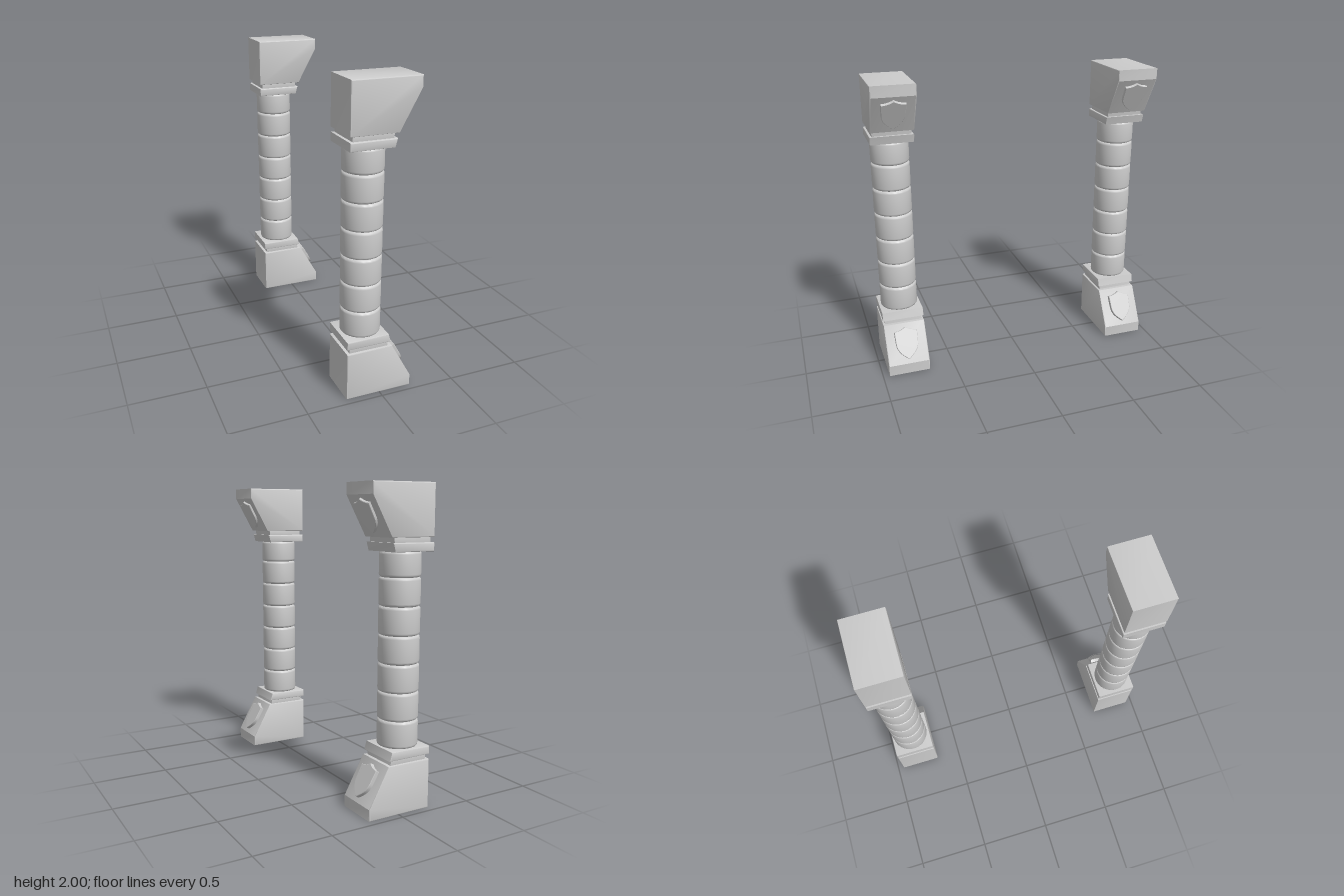
import * as THREE from 'three';
import { toCreasedNormals } from 'three/addons/utils/BufferGeometryUtils.js';

const material = new THREE.MeshStandardMaterial({ color: 0xcccccc });
const MID = 1.0; // height about which base and capital mirror

function add(group, name, geometry) {
  const mesh = new THREE.Mesh(geometry, material);
  mesh.name = name;
  group.add(mesh);
  return mesh;
}

// Side profile (x, y) extruded across z with a small chamfer; flip mirrors it to the top end
function block(points, depth, flip, bevel = 0.007) {
  const shape = new THREE.Shape(points.map(([x, y]) => new THREE.Vector2(x, flip ? 2 * MID - y : y)));
  const geometry = new THREE.ExtrudeGeometry(shape, {
    depth: depth - 2 * bevel, bevelSize: bevel, bevelOffset: -bevel, bevelThickness: bevel, bevelSegments: 2,
  });
  return toCreasedNormals(geometry.translate(0, 0, -depth / 2 + bevel), 0.5);
}

// Heater shield outline with a peaked top, centred on its origin
function shieldOutline(s, Type = THREE.Shape) {
  const p = new Type();
  p.moveTo(0, 0.111 * s);
  p.quadraticCurveTo(0.03 * s, 0.088 * s, 0.079 * s, 0.084 * s);
  p.lineTo(0.076 * s, 0.0);
  p.bezierCurveTo(0.074 * s, -0.055 * s, 0.035 * s, -0.085 * s, 0, -0.111 * s);
  p.bezierCurveTo(-0.035 * s, -0.085 * s, -0.074 * s, -0.055 * s, -0.076 * s, 0);
  p.lineTo(-0.079 * s, 0.084 * s);
  p.quadraticCurveTo(-0.03 * s, 0.088 * s, 0, 0.111 * s);
  return p;
}

// Raised rim around a recessed plate, lying on a slope whose uphill direction is (dx, dy)
function makeShield(x, y, dx, dy) {
  const shield = new THREE.Group();
  shield.name = 'shield';
  const rim = shieldOutline(1);
  rim.holes.push(shieldOutline(0.83, THREE.Path));
  const bevel = { bevelSize: 0.003, bevelOffset: -0.003, bevelThickness: 0.003, bevelSegments: 1, curveSegments: 10 };
  const rimGeo = new THREE.ExtrudeGeometry(rim, { depth: 0.034, ...bevel });
  const plateGeo = new THREE.ExtrudeGeometry(shieldOutline(0.9), { depth: 0.03, bevelEnabled: false, curveSegments: 10 });
  add(shield, 'shieldRim', toCreasedNormals(rimGeo.translate(0, 0, -0.012), 0.5));
  add(shield, 'shieldPlate', toCreasedNormals(plateGeo.translate(0, 0, -0.012), 0.5));
  const up = new THREE.Vector3(dx, dy, 0).normalize();
  const right = new THREE.Vector3(0, 0, -1);
  const out = new THREE.Vector3().crossVectors(right, up);
  shield.setRotationFromMatrix(new THREE.Matrix4().makeBasis(right, up, out));
  shield.position.set(x, y, 0);
  return shield;
}

// Stacked round drums with softened edges and narrow grooves
function makeShaft() {
  const joints = [0.4, 0.57, 0.745, 0.92, 1.095, 1.27, 1.445, 1.6];
  const R = 0.127, e = 0.014, profile = [];
  for (let i = 0; i < joints.length - 1; i++) {
    const a = joints[i], b = joints[i + 1];
    profile.push([R - e, a], [R - e * 0.4, a + e * 0.3], [R - e * 0.1, a + e * 0.7], [R, a + e * 1.3],
      [R, b - e * 1.3], [R - e * 0.1, b - e * 0.7], [R - e * 0.4, b - e * 0.3]);
  }
  profile.push([R - e, 1.6]);
  const geometry = new THREE.LatheGeometry(profile.map(([r, y]) => new THREE.Vector2(r, y)), 40);
  return toCreasedNormals(geometry, 0.9).translate(-0.08, 0, 0);
}

function makePillar() {
  const pillar = new THREE.Group();
  pillar.name = 'pillar';
  for (const flip of [false, true]) {
    const end = new THREE.Group();
    end.name = flip ? 'capital' : 'base';
    add(end, 'slopedBlock', block(
      [[-0.225, 0], [0.216, 0], [0.216, 0.073], [0.08, 0.318], [-0.225, 0.318]], 0.285, flip));
    add(end, 'neck', block(
      [[-0.205, 0.3], [0.06, 0.3], [0.05, 0.37], [-0.205, 0.37]], 0.255, flip, 0.004));
    add(end, 'collarSlab', block(
      [[-0.225, 0.348], [0.071, 0.348], [0.056, 0.402], [-0.225, 0.402]], 0.285, flip));
    end.add(flip ? makeShield(0.145, 1.814, 0.53, 1) : makeShield(0.147, 0.197, -0.555, 1));
    pillar.add(end);
  }
  add(pillar, 'drumShaft', makeShaft());
  return pillar;
}

export function createModel() {
  const model = new THREE.Group();
  model.name = 'pillarPair';
  for (const side of [1, -1]) {
    const pillar = makePillar();
    pillar.position.z = side * 0.815;
    model.add(pillar);
  }
  return model;
}
